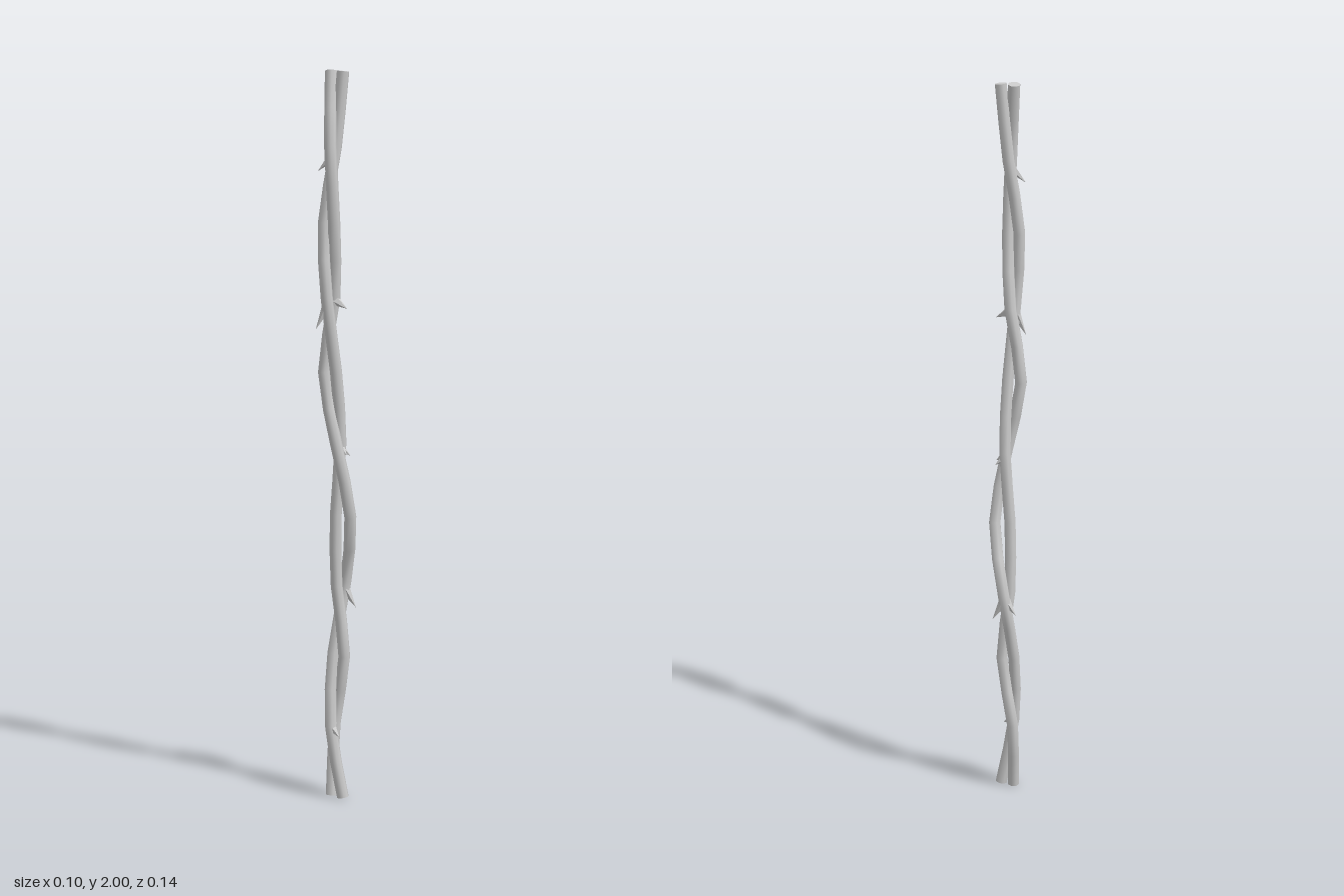
import * as THREE from 'three';

const RADIUS = 0.0165;

// Centre lines of the two twisted stems, one [x, z] point every 0.2 in height
const STEM_A = [[-0.016, 0.01], [-0.025, -0.022], [0.008, -0.018], [-0.012, -0.01], [-0.01, -0.003], [0.005, -0.003],
  [0.005, 0.02], [-0.005, 0.05], [-0.02, 0.04], [0.003, 0.018], [0.021, 0.01]];
const STEM_B = [[0.021, 0.01], [-0.015, 0.015], [-0.027, -0.016], [-0.01, -0.053], [0.032, -0.01], [0.008, 0.023],
  [-0.033, 0.02], [-0.005, 0.012], [0.012, 0.04], [0.008, 0.052], [-0.016, 0.01]];

// Thorns: base and tip
const THORNS = [
  [[-0.012, 0.2, 0.014], [0.022, 0.18, 0.03]],
  [[-0.022, 0.2, -0.01], [-0.01, 0.18, 0.025]],
  [[-0.015, 0.585, -0.048], [-0.045, 0.545, -0.05]],
  [[-0.008, 0.58, -0.05], [0.02, 0.53, -0.06]],
  [[0.005, 0.99, 0.0], [0.034, 0.97, 0.01]],
  [[0.005, 0.985, -0.003], [0.028, 0.965, -0.018]],
  [[-0.008, 1.375, 0.045], [-0.03, 1.315, 0.066]],
  [[0.0, 1.39, 0.014], [0.038, 1.37, 0.016]],
  [[0.0, 1.775, 0.03], [-0.036, 1.735, 0.045]],
];

function createStem(points, material) {
  const group = new THREE.Group();
  const last = points.length - 1;
  const curve = new THREE.CatmullRomCurve3(points.map(([x, z], i) =>
    new THREE.Vector3(x, THREE.MathUtils.lerp(0.003, 1.997, i / last), z)));
  const stem = new THREE.Mesh(new THREE.TubeGeometry(curve, 20, RADIUS, 8), material);
  stem.name = 'stem';
  group.add(stem);

  // Cut ends
  for (const t of [0, 1]) {
    const cap = new THREE.Mesh(new THREE.CircleGeometry(RADIUS, 8), material);
    const outward = curve.getTangentAt(t).multiplyScalar(t ? 1 : -1);
    cap.position.copy(curve.getPointAt(t));
    cap.quaternion.setFromUnitVectors(new THREE.Vector3(0, 0, 1), outward);
    cap.name = t ? 'topEnd' : 'bottomEnd';
    group.add(cap);
  }
  return group;
}

function createThorn(from, to, material) {
  const base = new THREE.Vector3(...from);
  const direction = new THREE.Vector3(...to).sub(base);
  const length = direction.length();
  const geometry = new THREE.ConeGeometry(0.014, length, 5).translate(0, length / 2, 0);
  const thorn = new THREE.Mesh(geometry, material);
  thorn.position.copy(base);
  thorn.quaternion.setFromUnitVectors(new THREE.Vector3(0, 1, 0), direction.normalize());
  thorn.name = 'thorn';
  return thorn;
}

export function createModel() {
  const model = new THREE.Group();
  model.name = 'thornyVine';
  const bark = new THREE.MeshStandardMaterial({ color: 0xcccccc });
  const faceted = new THREE.MeshStandardMaterial({ color: 0xcccccc, flatShading: true });

  const stemA = createStem(STEM_A, bark);
  stemA.name = 'firstStem';
  const stemB = createStem(STEM_B, bark);
  stemB.name = 'secondStem';
  model.add(stemA, stemB);

  for (const [from, to] of THORNS) model.add(createThorn(from, to, faceted));
  return model;
}
